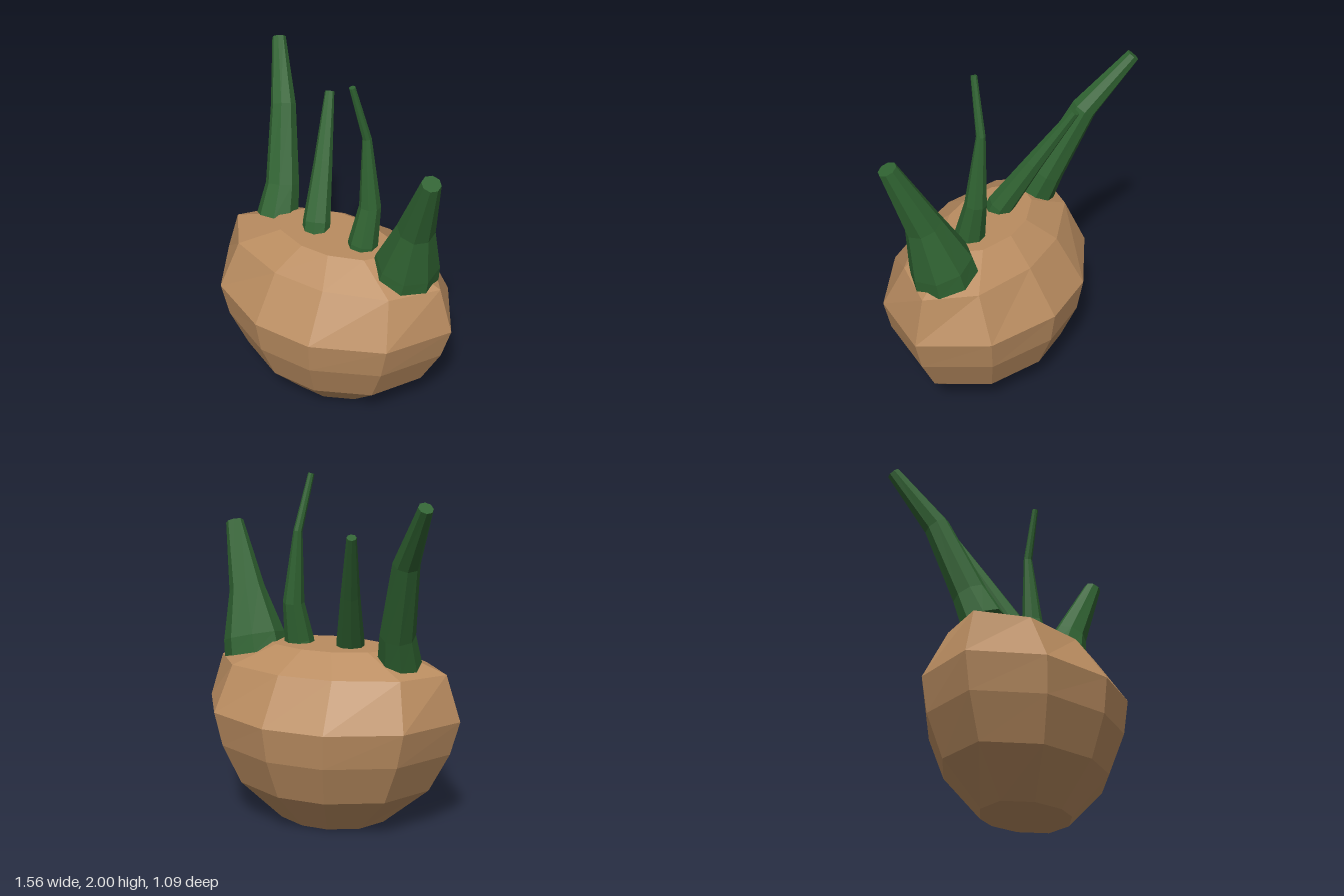
import * as THREE from 'three';

const SKIN = 0xb98c60, GREEN = 0x2f6231;

// Closed faceted solid through a stack of rings (each an array of Vector3).
function loft(rings, color, name) {
  const pos = [], n = rings[0].length;
  const tri = (...pts) => pts.forEach((p) => pos.push(p.x, p.y, p.z));
  const centre = (ring) => ring.reduce((s, p) => s.add(p), new THREE.Vector3()).divideScalar(n);
  const first = rings[0], last = rings[rings.length - 1];
  const c0 = centre(first), c1 = centre(last);
  for (let j = 0; j < n; j++) {
    const k = (j + 1) % n;
    for (let i = 0; i < rings.length - 1; i++) {
      const lo = rings[i], hi = rings[i + 1];
      tri(lo[j], hi[j], lo[k]);
      tri(lo[k], hi[j], hi[k]);
    }
    tri(c0, first[j], first[k]);
    tri(c1, last[k], last[j]);
  }
  const geo = new THREE.BufferGeometry();
  geo.setAttribute('position', new THREE.Float32BufferAttribute(pos, 3));
  geo.computeVertexNormals();
  const mesh = new THREE.Mesh(geo, new THREE.MeshStandardMaterial({ color, flatShading: true }));
  mesh.name = name;
  return mesh;
}

// Ten-sided oval bulb: one quarter of the outline, mirrored in x and z.
function bulb() {
  const outline = [[1, 0], [0.73, 0.66], [0.23, 1], [-0.23, 1], [-0.73, 0.66],
    [-1, 0], [-0.73, -0.66], [-0.23, -1], [0.23, -1], [0.73, -0.66]];
  // height, half width, half depth
  const levels = [[0, 0.335, 0.235], [0.23, 0.605, 0.43], [0.46, 0.725, 0.515],
    [0.655, 0.78, 0.54], [0.917, 0.695, 0.365], [1.035, 0.385, 0.202]];
  const rings = levels.map(([y, w, d]) => outline.map(([x, z]) => new THREE.Vector3(x * w, y, z * d)));
  return loft(rings, SKIN, 'bulb');
}

// Tapered eight-sided stalk; each station is x, y, z, radius.
function stalk(name, stations) {
  const pts = stations.map(([x, y, z]) => new THREE.Vector3(x, y, z));
  const rings = stations.map(([, , , r], i) => {
    const prev = pts[Math.max(i - 1, 0)], next = pts[Math.min(i + 1, pts.length - 1)];
    const t = next.clone().sub(prev).normalize();
    const u = new THREE.Vector3(1, 0, 0).addScaledVector(t, -t.x).normalize();
    const v = u.clone().cross(t);
    return Array.from({ length: 8 }, (_, j) => {
      const a = ((j + 0.5) * Math.PI) / 4;
      return pts[i].clone().addScaledVector(u, r * Math.cos(a)).addScaledVector(v, r * Math.sin(a));
    });
  });
  return loft(rings, GREEN, name);
}

export function createModel() {
  const model = new THREE.Group();
  model.name = 'sproutingBulb';
  model.add(bulb());

  // Four stalks from the model's left (+x) to its right
  model.add(stalk('thickLeftStalk', [
    [0.47, 0.95, 0, 0.19], [0.49, 1.04, 0.01, 0.18], [0.56, 1.31, 0.065, 0.105], [0.692, 1.69, 0.178, 0.052]]));
  model.add(stalk('thinLeftStalk', [
    [0.19, 0.99, 0, 0.09], [0.195, 1.05, 0, 0.085], [0.208, 1.27, -0.045, 0.062],
    [0.172, 1.68, -0.058, 0.026], [0.12, 1.996, 0.013, 0.018]]));
  model.add(stalk('thinRightStalk', [
    [-0.12, 0.99, 0.01, 0.08], [-0.13, 1.06, -0.015, 0.08], [-0.195, 1.36, -0.185, 0.054], [-0.278, 1.7, -0.383, 0.027]]));
  model.add(stalk('thickRightStalk', [
    [-0.44, 0.97, -0.06, 0.125], [-0.455, 1.15, -0.14, 0.1], [-0.555, 1.57, -0.31, 0.074], [-0.718, 1.88, -0.512, 0.04]]));
  return model;
}
